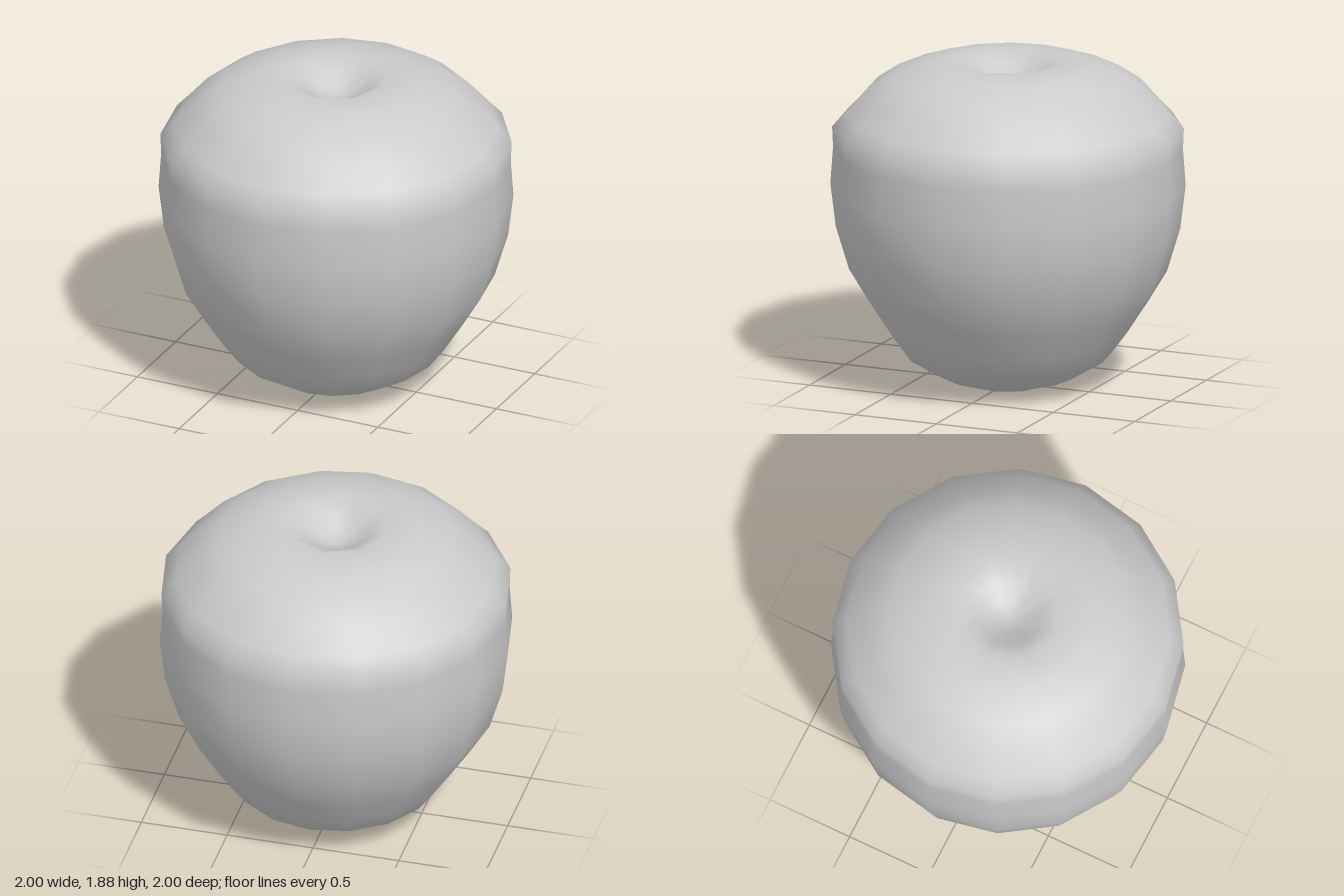
import * as THREE from 'three';
import { mergeVertices } from 'three/addons/utils/BufferGeometryUtils.js';

const SIDES = 16;

// Half outline of the fruit, [radius, height], from lower dimple to upper dimple
const PROFILE = [
  [0, 0.13], [0.09, 0.08], [0.21, 0.005], [0.38, 0.06], [0.58, 0.18],
  [0.67, 0.30], [0.78, 0.47], [0.895, 0.66], [0.97, 0.91], [1.0, 1.16],
  [0.985, 1.37], [0.99, 1.49], [0.915, 1.57], [0.80, 1.70], [0.67, 1.79],
  [0.49, 1.855], [0.31, 1.88], [0.19, 1.82], [0.10, 1.76], [0, 1.74],
];

function fruitGeometry() {
  const lathe = new THREE.LatheGeometry(PROFILE.map(([r, y]) => new THREE.Vector2(r, y)), SIDES);
  const pos = lathe.attributes.position;

  // The dimple rings are eight-sided: pull every second vertex onto the octagon's edge
  const flat = Math.cos(Math.PI / 8);
  for (let i = 0; i < pos.count; i++) {
    const column = Math.floor(i / PROFILE.length);
    const radius = PROFILE[i % PROFILE.length][0];
    if (column % 2 === 1 && radius < 0.35) {
      pos.setX(i, pos.getX(i) * flat);
      pos.setZ(i, pos.getZ(i) * flat);
    }
  }

  // Weld the seam and poles for continuous smooth shading
  lathe.deleteAttribute('uv');
  lathe.deleteAttribute('normal');
  const geometry = mergeVertices(lathe, 1e-4);
  geometry.computeVertexNormals();
  return geometry;
}

export function createModel() {
  const group = new THREE.Group();
  group.name = 'apple';
  const body = new THREE.Mesh(
    fruitGeometry(),
    new THREE.MeshStandardMaterial({ color: 0xcccccc }),
  );
  body.name = 'fruitBody';
  group.add(body);
  return group;
}
